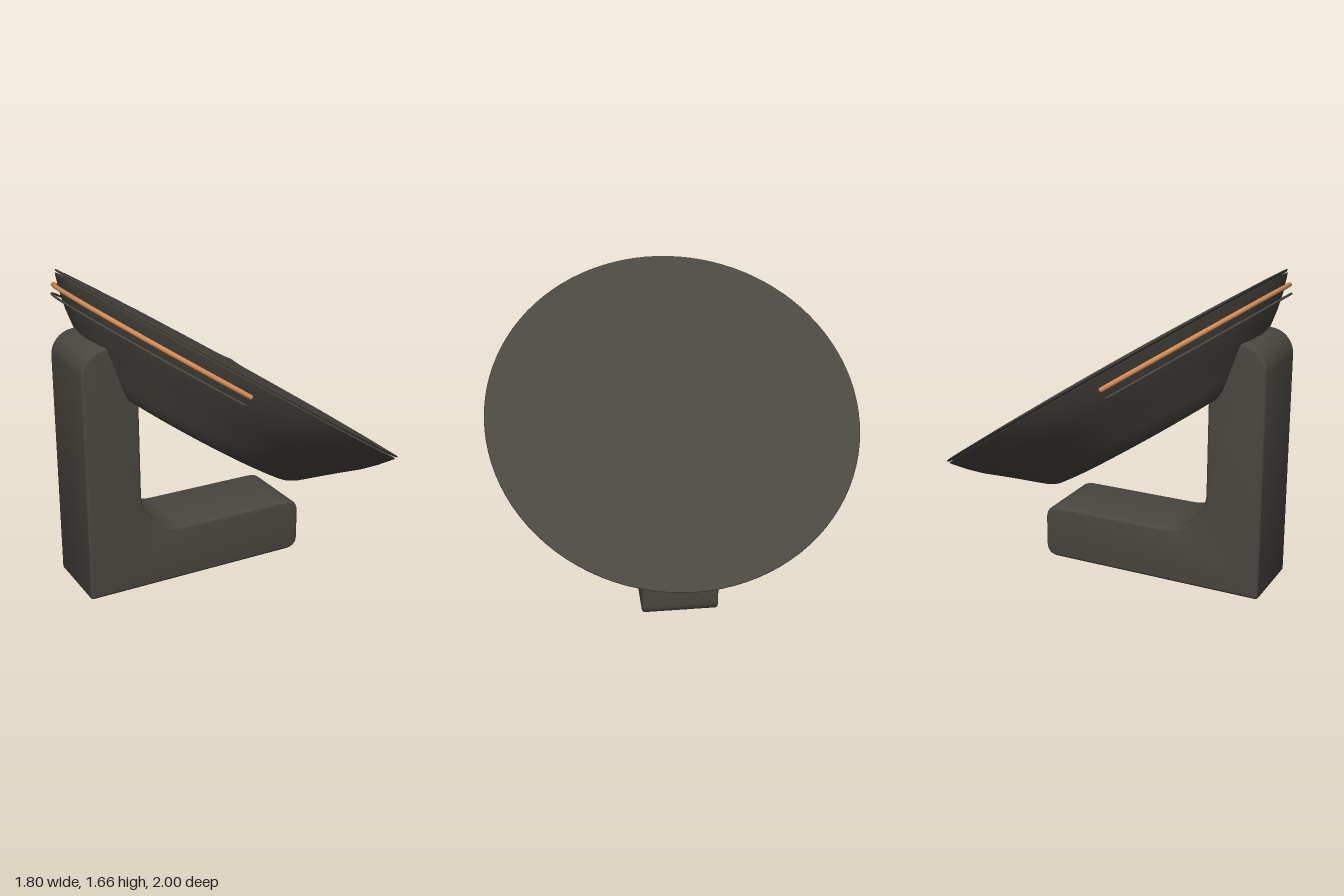
import * as THREE from 'three';
import { toCreasedNormals } from 'three/addons/utils/BufferGeometryUtils.js';

const dark = new THREE.MeshStandardMaterial({ color: 0x4a4640 });
dark.name = 'charcoal';
const copper = new THREE.MeshStandardMaterial({ color: 0xd08a54 });
copper.name = 'copper';

function addMesh(parent, name, geometry, material) {
  const mesh = new THREE.Mesh(geometry, material);
  mesh.name = name;
  parent.add(mesh);
  return mesh;
}

// Lathe from [radius, height] pairs; a repeated pair makes a sharp edge
function lathe(points) {
  return new THREE.LatheGeometry(points.map(([r, y]) => new THREE.Vector2(r, y)), 96);
}

// L-shaped stand: upright column, inner fillet and foot
function standGeometry() {
  const s = new THREE.Shape();
  s.moveTo(-0.905, 0.01);
  s.quadraticCurveTo(-0.905, 0, -0.89, 0);
  s.lineTo(0.28, 0);
  s.quadraticCurveTo(0.35, 0, 0.35, 0.07);
  s.lineTo(0.35, 0.22);
  s.quadraticCurveTo(0.35, 0.3, 0.26, 0.3);
  s.lineTo(-0.365, 0.3);
  s.absarc(-0.365, 0.54, 0.24, -Math.PI / 2, -Math.PI, true);
  s.lineTo(-0.605, 1.35);
  s.lineTo(-0.775, 1.35);
  s.absarc(-0.775, 1.22, 0.13, Math.PI / 2, Math.PI, false);
  const bevel = 0.015;
  const geo = new THREE.ExtrudeGeometry(s, {
    depth: 0.42 - 2 * bevel, curveSegments: 16,
    bevelThickness: bevel, bevelSize: bevel, bevelOffset: -bevel, bevelSegments: 3,
  });
  geo.translate(0, 0, -0.21 + bevel);
  return toCreasedNormals(geo, 0.6);
}

// Arc around the raised (-x) side of the head, with rounded ends
function addTrim(parent, name, radius, height, tube, halfAngle, material) {
  const trim = new THREE.Group();
  trim.name = name;
  trim.position.y = height;
  parent.add(trim);
  const arc = new THREE.TorusGeometry(radius, tube, 10, 64, 2 * halfAngle);
  arc.rotateZ(Math.PI - halfAngle);
  arc.rotateX(Math.PI / 2);
  addMesh(trim, name + 'Arc', arc, material);
  for (const side of [-1, 1]) {
    const end = addMesh(trim, name + 'End', new THREE.SphereGeometry(tube, 10, 8), material);
    end.position.set(-radius * Math.cos(halfAngle), 0, side * radius * Math.sin(halfAngle));
  }
}

export function createModel() {
  const model = new THREE.Group();
  model.name = 'tiltedDiscOnStand';
  addMesh(model, 'stand', standGeometry(), dark);

  // Tilted head, slightly longer along the slope than across
  const head = new THREE.Group();
  head.name = 'head';
  head.position.set(0.02, 1.0875, 0);
  head.rotation.z = -0.581;
  head.scale.z = 0.95;
  model.add(head);

  // Bowl with a shallow recess underneath
  addMesh(head, 'bowl', lathe([
    [0, -0.36], [0.47, -0.365], [0.53, -0.385], [0.56, -0.398], [0.595, -0.394],
    [0.64, -0.37], [0.69, -0.33], [0.75, -0.281], [0.83, -0.217], [0.91, -0.155],
    [0.98, -0.09], [1.025, -0.04], [1.045, -0.017], [1.045, -0.017],
    [1.04, -0.015], [1.04, -0.015], [0, -0.015],
  ]), dark);

  // Gently domed face plate, separated from the bowl by a fine gap
  addMesh(head, 'facePlate', lathe([
    [0, -0.008], [1.045, -0.008], [1.045, -0.008], [1.053, -0.002], [1.05, 0.001], [1.05, 0.001],
    [0.85, 0.009], [0.6, 0.016], [0.3, 0.02], [0.08, 0.022], [0.03, 0.025], [0, 0.029],
  ]), dark);

  addTrim(head, 'copperTrim', 1.023, -0.076, 0.012, 1.163, copper);
  addTrim(head, 'lowerTrim', 1.008, -0.121, 0.006, 1.163, dark);
  return model;
}
